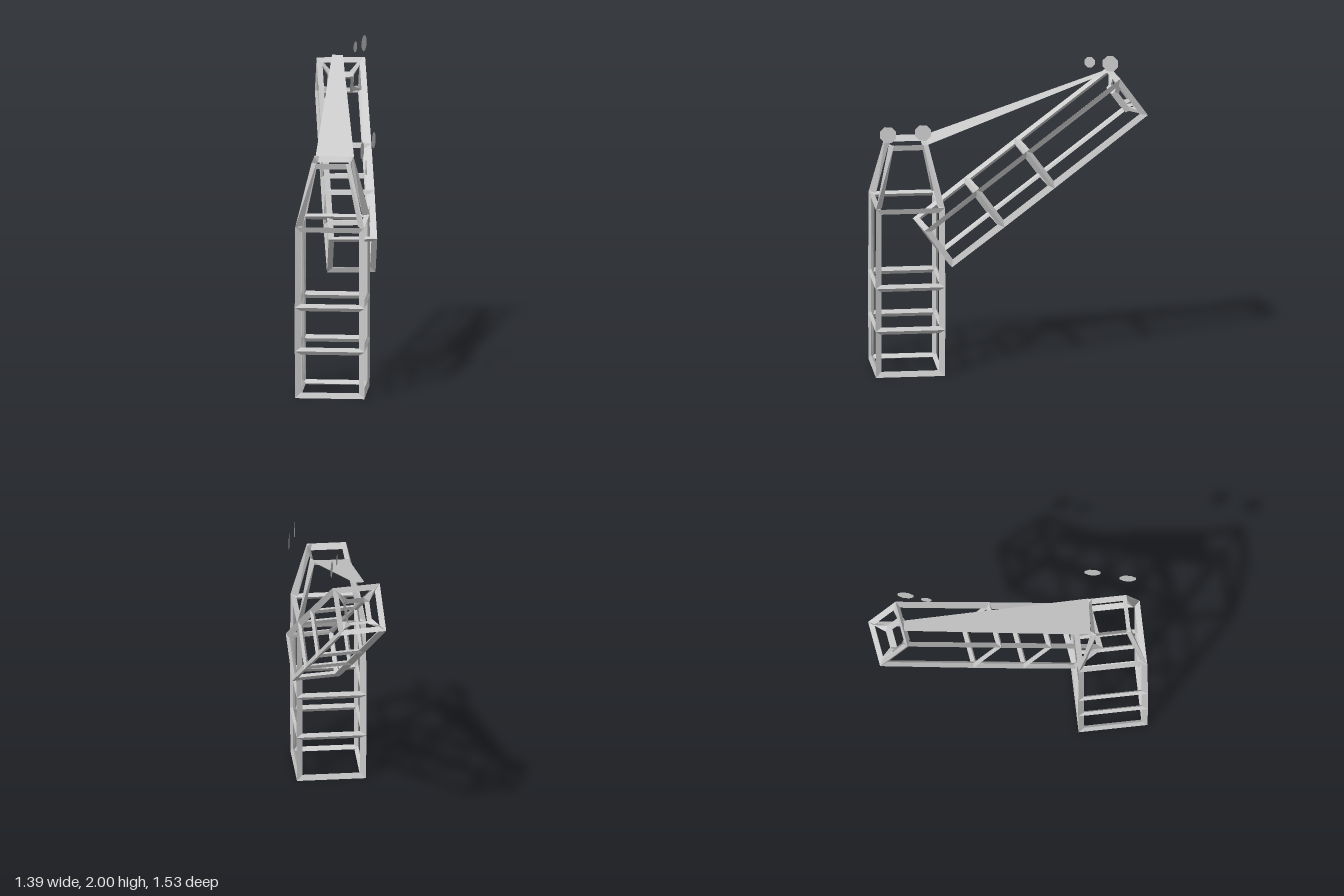
import * as THREE from 'three';
import { ConvexGeometry } from 'three/addons/geometries/ConvexGeometry.js';

const V = (x, y, z) => new THREE.Vector3(x, y, z);
const grey = new THREE.MeshStandardMaterial({ color: 0xcccccc, side: THREE.DoubleSide });
grey.name = 'light grey';

function addMesh(group, name, geometry) {
  const mesh = new THREE.Mesh(geometry, grey);
  mesh.name = name;
  group.add(mesh);
  return mesh;
}

// Lattice of four-sided bars along every edge of a square box divided at the given heights.
// inset and depth set the bar size.
function latticeGeometry(heights, h, inset = 0.023, depth = 0.021) {
  const corners = [[1, 1], [1, -1], [-1, -1], [-1, 1]];
  const verts = heights.flatMap((y) => corners.map(([x, z]) => V(x * h, y, z * h)));
  const last = (heights.length - 1) * 4;
  const faces = [[3, 2, 1, 0], [last, last + 1, last + 2, last + 3]];
  for (let i = 0; i < last; i += 4) {
    for (let k = 0; k < 4; k++) {
      const a = i + k, b = i + (k + 1) % 4;
      faces.push([a, b, b + 4, a + 4]);
    }
  }

  // Vertex normals push each bar's ridge out and its back edge in
  const normals = verts.map(() => V(0, 0, 0));
  for (const f of faces) {
    const n = verts[f[2]].clone().sub(verts[f[0]]).cross(verts[f[3]].clone().sub(verts[f[1]])).normalize();
    f.forEach((i) => normals[i].add(n));
  }
  normals.forEach((n) => n.normalize());
  const outer = verts.map((p, i) => p.clone().addScaledVector(normals[i], depth));
  const inner = verts.map((p, i) => p.clone().addScaledVector(normals[i], -depth));

  const pos = [];
  const quad = (a, b, c, d) => [a, b, c, a, c, d].forEach((p) => pos.push(p.x, p.y, p.z));
  for (const f of faces) {
    const rim = f.map((i, k) => {
      const toNext = verts[f[(k + 1) % 4]].clone().sub(verts[i]).normalize();
      const toPrev = verts[f[(k + 3) % 4]].clone().sub(verts[i]).normalize();
      return verts[i].clone().addScaledVector(toNext.add(toPrev), inset);
    });
    f.forEach((a, k) => {
      const m = (k + 1) % 4, b = f[m];
      quad(outer[a], outer[b], rim[m], rim[k]);
      quad(rim[k], rim[m], inner[b], inner[a]);
    });
  }
  const geo = new THREE.BufferGeometry();
  geo.setAttribute('position', new THREE.Float32BufferAttribute(pos, 3));
  geo.computeVertexNormals();
  return geo;
}

// Four fins from the corners of a rim (half width h0 at y0) to a smaller ring (h1 at y1)
function addHead(group, h0, y0, h1, y1) {
  const foot = h0 - 0.042, low = y1 - 0.036, back = h1 - 0.024, side = h1 - 0.03;
  const finGeo = new ConvexGeometry([
    V(h0, y0, h0), V(foot, y0, foot),
    V(h1, y1, h1), V(h1, y1, side), V(side, y1, h1), V(back, low, back)]);
  const barGeo = new ConvexGeometry([-1, 1].flatMap((s) => [
    V(h1, y1, s * h1), V(h1 - 0.008, low, s * (h1 - 0.008)), V(back, low, s * back)]));
  for (let k = 0; k < 4; k++) {
    addMesh(group, `headFin${k + 1}`, finGeo).rotation.y = k * Math.PI / 2;
    addMesh(group, `headBar${k + 1}`, barGeo).rotation.y = k * Math.PI / 2;
  }
}

export function createModel() {
  const model = new THREE.Group();
  model.name = 'latticeTowerWithArm';

  // Upright tower with a tapered head
  const tower = new THREE.Group();
  tower.name = 'tower';
  addMesh(tower, 'towerFrame', latticeGeometry([0.012, 0.297, 0.573, 1.072], 0.203));
  addHead(tower, 0.215, 1.084, 0.122, 1.469);
  tower.position.set(0.383, 0, 0.458);
  tower.rotation.y = 0.67;
  model.add(tower);

  // Leaning arm whose far end folds back into a smaller ring
  const arm = new THREE.Group();
  arm.name = 'arm';
  addMesh(arm, 'armFrame', latticeGeometry([0.007, 0.405, 0.8, 1.524], 0.139));
  addHead(arm, 0.151, 1.536, 0.083, 1.475);
  const along = V(-0.9, 0.89, -0.86).normalize();
  const across = along.clone().cross(V(0, 1, 0)).normalize();
  arm.quaternion.setFromRotationMatrix(
    new THREE.Matrix4().makeBasis(across, along, across.clone().cross(along)));
  arm.position.set(0.375, 0.835, 0.27);
  model.add(arm);

  // Sloping sheet from the tower head to the arm tip
  const sheetGeo = new THREE.BufferGeometry().setFromPoints([
    V(0.215, 1.468, 0.43), V(0.41, 1.468, 0.29), V(-0.445, 1.868, -0.53), V(-0.5, 1.868, -0.49)]);
  sheetGeo.setIndex([0, 1, 2, 0, 2, 3]);
  sheetGeo.computeVertexNormals();
  addMesh(model, 'slopingSheet', sheetGeo);

  // Floating eight-sided discs, one pair above each end: position, radius, turn
  const discs = [
    [-0.323, 1.951, -0.592, 0.053, 2.0], [-0.28, 1.952, -0.466, 0.036, 2.0],
    [0.533, 1.583, 0.243, 0.054, 2.08], [0.622, 1.56, 0.444, 0.055, 2.08]];
  discs.forEach(([x, y, z, r, turn], i) => {
    const disc = addMesh(model, `disc${i + 1}`, new THREE.CircleGeometry(r, 8, Math.PI / 8));
    disc.position.set(x, y, z);
    disc.rotation.y = turn;
  });

  return model;
}
